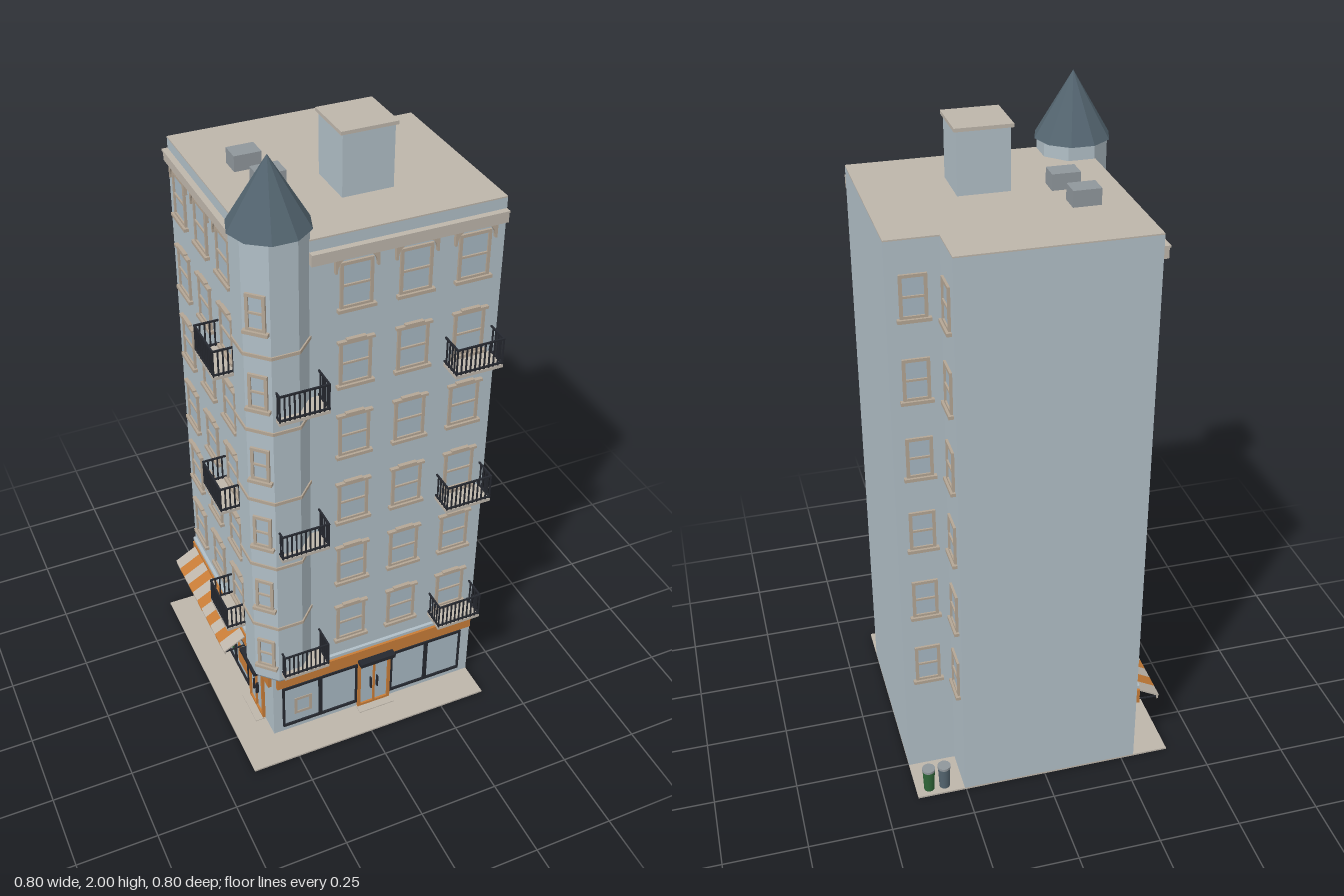
import * as THREE from 'three';

const mat = (name, color) => Object.assign(new THREE.MeshStandardMaterial({ color }), { name });
const wall = mat('wall', 0xb0bec6);
const stone = mat('stone', 0xbdb5aa);
const trim = mat('trim', 0xb3a594);
const glass = mat('glass', 0xa6b7c2);
const slate = mat('slate', 0x53646f);
const iron = mat('iron', 0x25282f);
const orange = mat('orange', 0xc77c37);
const metal = mat('metal', 0x8f969b);
const green = mat('green', 0x2f6638);

const named = (name) => Object.assign(new THREE.Group(), { name });

function add(parent, name, geometry, material, x = 0, y = 0, z = 0) {
  const m = new THREE.Mesh(geometry, material);
  m.name = name;
  m.position.set(x, y, z);
  parent.add(m);
  return m;
}

// box given by its minimum and maximum on each axis
function box(parent, name, material, x0, x1, y0, y1, z0, z1) {
  return add(parent, name, new THREE.BoxGeometry(x1 - x0, y1 - y0, z1 - z0), material,
    (x0 + x1) / 2, (y0 + y1) / 2, (z0 + z1) / 2);
}

function rectPath(Type, x0, x1, y0, y1) {
  return new Type([[x0, y0], [x1, y0], [x1, y1], [x0, y1]].map(p => new THREE.Vector2(...p)));
}

const extrude = (shape, depth) =>
  new THREE.ExtrudeGeometry(shape, { depth, bevelEnabled: false, curveSegments: 6 });

// flat plate with rectangular openings
function frameGeometry(outer, holes, depth) {
  const s = rectPath(THREE.Shape, ...outer);
  holes.forEach(h => s.holes.push(rectPath(THREE.Path, ...h)));
  return extrude(s, depth);
}

// faceted prism or cone
function facets(rTop, rBottom, h, sides, start) {
  const g = new THREE.CylinderGeometry(rTop, rBottom, h, sides, 1, false, start).toNonIndexed();
  g.computeVertexNormals();
  return g;
}

// window standing on its sill, facing +z
function makeWindow(w, h, crown) {
  const g = named('window');
  const a = w / 2, t = 0.009;
  add(g, 'windowFrame', frameGeometry([-a, a, 0, h],
    [[-a + t, a - t, t, h / 2 - 0.003], [-a + t, a - t, h / 2 + 0.003, h - t]], 0.007), trim);
  box(g, 'windowGlass', glass, -a + t, a - t, t, h - t, 0, 0.002);
  box(g, 'sill', trim, -a - 0.008, a + 0.008, -0.008, 0.002, 0, 0.014);
  if (crown) {
    box(g, 'lintel', trim, -a - 0.007, a + 0.007, h - 0.004, h + 0.004, 0, 0.012);
    box(g, 'lintelCrown', trim, -a * 0.6, a * 0.6, h + 0.004, h + 0.009, 0, 0.012);
  }
  return g;
}

// balcony with railing; front wall plane at z = 0
function makeBalcony() {
  const g = named('balcony');
  const w = 0.073, d = 0.073, top = 0.085, r = 0.0025;
  box(g, 'balconyFloor', stone, -w, w, -0.01, 0, 0, d);
  for (const y of [0.008, top]) {
    box(g, 'frontRail', iron, -w, w, y - 0.005, y, d - 0.005, d);
    for (const s of [-1, 1]) add(g, 'sideRail', new THREE.BoxGeometry(0.005, 0.005, d), iron, s * (w - r), y - r, d / 2);
  }
  const bar = new THREE.BoxGeometry(0.004, top, 0.004);
  for (let i = 0; i <= 10; i++) add(g, 'baluster', bar, iron, (i / 5 - 1) * (w - r), top / 2, d - r);
  for (let i = 1; i < 5; i++)
    for (const s of [-1, 1]) add(g, 'baluster', bar, iron, s * (w - r), top / 2, i * d / 5 - r);
  return g;
}

// shop window with dark frame and mullions
function shopWindow(parent, x0, x1, panes) {
  const holes = [], step = (x1 - x0) / panes;
  for (let i = 0; i < panes; i++)
    holes.push([x0 + i * step + 0.006, x0 + (i + 1) * step - 0.006, 0.038, 0.196]);
  add(parent, 'shopFrame', frameGeometry([x0, x1, 0.03, 0.205], holes, 0.008), iron);
  box(parent, 'shopGlass', glass, x0 + 0.004, x1 - 0.004, 0.035, 0.2, 0, 0.002);
}

function shopDoor(parent, x) {
  const g = named('door');
  g.position.x = x;
  add(g, 'doorFrame', frameGeometry([-0.057, 0.057, 0.006, 0.213],
    [[-0.047, -0.003, 0.018, 0.2], [0.003, 0.047, 0.018, 0.2]], 0.009), orange);
  box(g, 'doorGlass', glass, -0.05, 0.05, 0.015, 0.205, 0, 0.003);
  for (const s of [-1, 1]) box(g, 'doorHandle', iron, s * 0.011 - 0.002, s * 0.011 + 0.002, 0.08, 0.125, 0.003, 0.013);
  box(g, 'doorCanopy', iron, -0.06, 0.06, 0.215, 0.229, 0, 0.036);
  box(g, 'doorStep', stone, -0.06, 0.06, 0, 0.009, 0, 0.034);
  parent.add(g);
}

const FLOOR = 0.2405;

// upper storeys, cornice and sign of one street side, facing +z
function makeFacade(name, columns, u0, u1, balconies) {
  const g = named(name);
  const bracket = new THREE.Shape();
  bracket.moveTo(0, 0);
  bracket.lineTo(0.03, 0);
  bracket.quadraticCurveTo(0.006, -0.006, 0.006, -0.04);
  bracket.lineTo(0, -0.04);
  bracket.closePath();
  const bracketGeo = extrude(bracket, 0.01);
  bracketGeo.translate(0, 0, -0.005);
  for (const c of columns) {
    for (let i = 0; i < 6; i++) {
      const w = makeWindow(0.094, 0.138, i < 5);
      w.position.set(c, 0.347 + i * FLOOR, 0);
      g.add(w);
    }
    for (const s of [-1, 1]) {
      const b = add(g, 'corniceBracket', bracketGeo, trim, c + s * 0.062, 1.7, 0.005);
      if (s > 0) b.rotation.y = Math.PI;
    }
  }
  box(g, 'cornice', stone, u0, u1, 1.7, 1.735, 0, 0.014);
  box(g, 'corniceLip', stone, u0, u1, 1.729, 1.735, 0, 0.018);
  for (const u of balconies)
    for (let k = 0; k < 3; k++) {
      const b = makeBalcony();
      b.position.set(u, 0.33 + k * 2 * FLOOR, 0);
      g.add(b);
    }
  const s0 = Math.max(u0, -0.395) - (u0 > -0.3 ? 0.12 : 0), s1 = Math.min(u1, 0.395) + (u1 < 0.3 ? 0.12 : 0);
  box(g, 'signBand', orange, s0, s1, 0.215, 0.265, 0, 0.012);
  box(g, 'shopLedge', wall, s0, s1, 0.272, 0.283, 0, 0.01);
  return g;
}

export function createModel() {
  const model = named('cornerBuilding');
  box(model, 'pavement', stone, -0.4, 0.4, 0, 0.006, -0.4, 0.4);

  // main block with a notch at the back right corner
  const plan = new THREE.Shape([[-0.29, -0.29], [0.4, -0.29], [0.4, 0.26], [0.255, 0.26], [0.255, 0.4], [-0.29, 0.4]]
    .map(p => new THREE.Vector2(...p)));
  const slab = (name, y, h, m) => {
    const geo = extrude(plan, h);
    geo.rotateX(-Math.PI / 2);
    add(model, name, geo, m, 0, y, 0);
  };
  slab('walls', 0.006, 1.76, wall);
  slab('roof', 1.766, 0.004, stone);

  // front side
  const front = makeFacade('frontFacade', [-0.03, 0.14, 0.31], -0.16, 0.4, [-0.205, 0.313]);
  front.position.z = 0.29;
  shopWindow(front, -0.26, -0.004, 2);
  shopWindow(front, 0.114, 0.365, 2);
  shopDoor(front, 0.055);
  add(front, 'poster', frameGeometry([-0.22, -0.16, 0.07, 0.14], [[-0.21, -0.17, 0.08, 0.13]], 0.002), trim, 0, 0, 0.002);
  model.add(front);

  // tower side
  const side = makeFacade('sideFacade', [-0.31, -0.14, 0.03], -0.4, 0.16, [0.028]);
  side.rotation.y = -Math.PI / 2;
  side.position.x = -0.29;
  shopWindow(side, -0.37, 0.09, 4);
  shopDoor(side, 0.16);
  [orange, stone, green, orange].forEach((m, i) =>
    box(side, 'poster', m, -0.35 + i * 0.115, -0.275 + i * 0.115, 0.06, 0.15, 0.002, 0.004));
  model.add(side);

  // striped awning
  const awning = named('awning');
  const stripe = 0.0419, slope = Math.atan2(0.045, 0.08);
  for (let i = 0; i < 11; i++) {
    const m = i % 2 ? orange : stone, u = -0.378 + (i + 0.5) * stripe;
    const a = add(awning, 'awningStripe', new THREE.BoxGeometry(stripe, 0.005, 0.092), m, u, 0.235, 0.041);
    a.rotation.x = slope;
    add(awning, 'awningValance', new THREE.BoxGeometry(stripe, 0.012, 0.004), m, u, 0.207, 0.078);
  }
  for (const u of [-0.37, 0.075]) {
    const rod = add(awning, 'awningArm', new THREE.BoxGeometry(0.004, 0.004, 0.08), iron, u, 0.206, 0.04);
    rod.rotation.x = 0.05;
  }
  side.add(awning);

  // windows in the notch
  for (let i = 0; i < 6; i++) {
    const a = makeWindow(0.075, 0.125, false), b = makeWindow(0.075, 0.125, false);
    a.position.set(0.255, 0.347 + i * FLOOR, -0.328);
    a.rotation.y = Math.PI / 2;
    b.position.set(0.328, 0.347 + i * FLOOR, -0.26);
    b.rotation.y = Math.PI;
    model.add(a, b);
  }

  // octagonal corner tower
  const tower = named('tower');
  tower.position.set(-0.248, 0, 0.246);
  const k = 1 / Math.cos(Math.PI / 8), A = 0.093;
  const ring = (name, a0, a1, y0, y1, m) =>
    add(tower, name, facets(a1 * k, a0 * k, y1 - y0, 8, Math.PI / 8), m, 0, (y0 + y1) / 2, 0);
  ring('towerFoot', 0.078, A, 0.278, 0.3, wall);
  ring('towerShaft', A, A, 0.3, 1.812, wall);
  for (let i = 0; i < 6; i++) {
    const y = 0.28 + i * FLOOR;
    if (i) ring('towerBand', A + 0.004, A + 0.004, y - 0.004, y + 0.006, trim);
    const w = makeWindow(0.055, 0.108, false);
    w.position.set(-A * Math.SQRT1_2, 0.357 + i * FLOOR, A * Math.SQRT1_2);
    w.rotation.y = -Math.PI / 4;
    tower.add(w);
  }
  add(tower, 'towerRoof', facets(0, 0.111, 0.188, 10, Math.PI / 10), slate, 0, 1.906, 0);
  model.add(tower);

  // rooftop
  box(model, 'stairHouse', wall, 0.005, 0.153, 1.77, 1.947, -0.023, 0.125);
  box(model, 'stairHouseCap', stone, -0.002, 0.16, 1.947, 1.957, -0.03, 0.13);
  box(model, 'airUnit', metal, -0.197, -0.118, 1.77, 1.816, -0.18, -0.12);
  box(model, 'airUnit', metal, -0.18, -0.1, 1.77, 1.816, -0.052, 0.008);

  // bins in the notch
  for (const [x, m] of [[0.312, slate], [0.36, green]]) {
    add(model, 'bin', new THREE.CylinderGeometry(0.019, 0.016, 0.074, 16), m, x, 0.043, -0.371);
    add(model, 'binLid', new THREE.CylinderGeometry(0.02, 0.02, 0.008, 16), metal, x, 0.084, -0.371);
  }
  return model;
}
